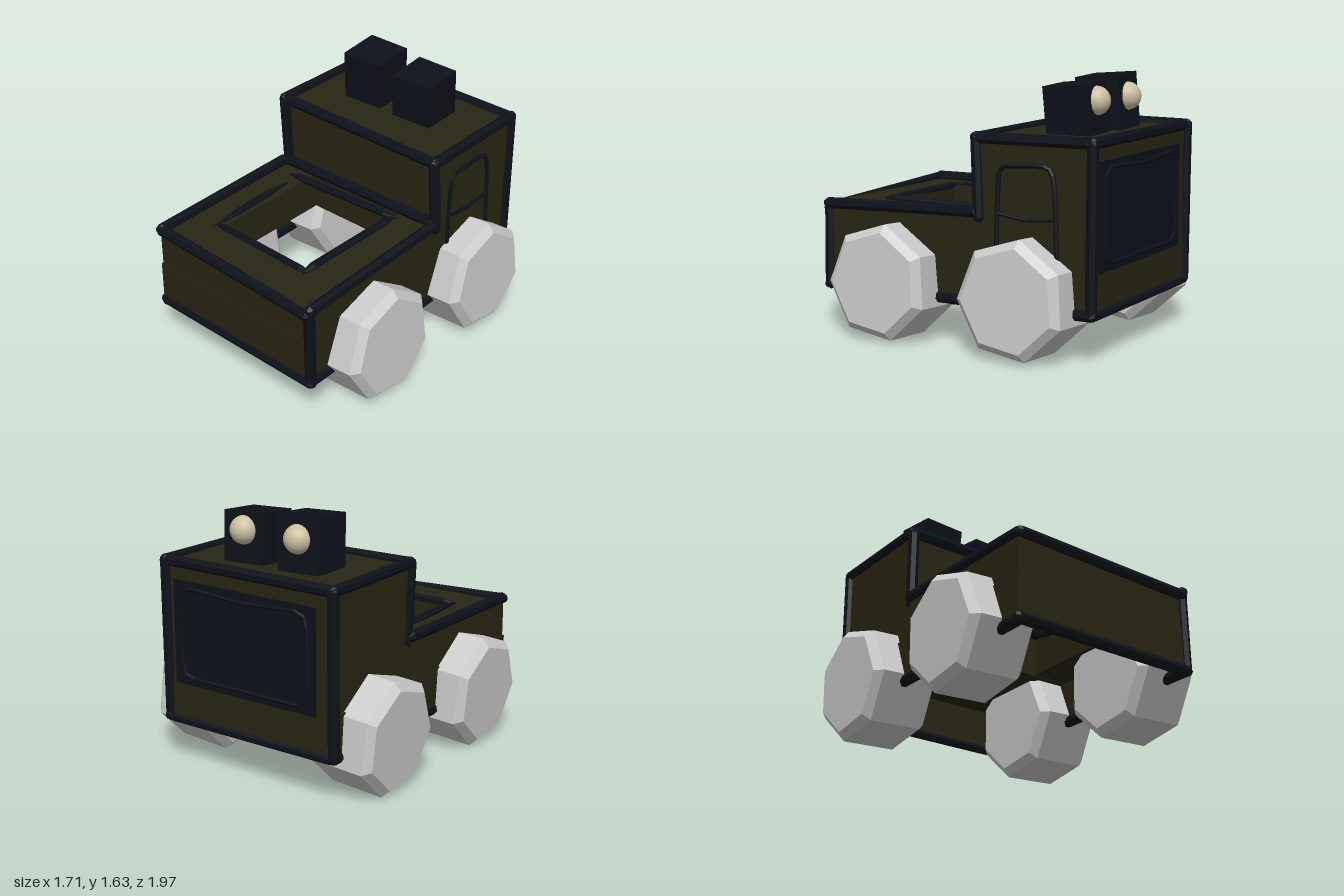
import * as THREE from 'three';

const mat = (color, extra = {}) => new THREE.MeshStandardMaterial({ color, flatShading: true, ...extra });

export function createModel() {
  const model = new THREE.Group();
  const olive = mat(0x282512);
  const dark = mat(0x0d1119);
  const grey = mat(0xcccccc);
  const beige = new THREE.MeshStandardMaterial({ color: 0xcbc0a2 });

  const add = (name, geo, material, parent = model) => {
    const m = new THREE.Mesh(geo, material);
    m.name = name;
    parent.add(m);
    return m;
  };

  // Box given by its two opposite corners
  const box = (name, a, b, material = olive) => {
    const g = new THREE.BoxGeometry(b[0] - a[0], b[1] - a[1], b[2] - a[2]);
    g.translate((a[0] + b[0]) / 2, (a[1] + b[1]) / 2, (a[2] + b[2]) / 2);
    return add(name, g, material);
  };

  // Faceted rod between two points; its ends narrow over the length "taper"
  const rod = (name, a, b, r = 0.036, taper = 0.025, tip = 0.6) => {
    const p = new THREE.Vector3(...a), q = new THREE.Vector3(...b);
    const len = p.distanceTo(q);
    const pts = [[0, 0], [r * tip, 0], [r, taper], [r, len - taper], [r * tip, len], [0, len]]
      .map(([x, y]) => new THREE.Vector2(x, y));
    const m = add(name, new THREE.LatheGeometry(pts, 7), dark);
    m.position.copy(p);
    m.quaternion.setFromUnitVectors(new THREE.Vector3(0, 1, 0), q.sub(p).normalize());
    return m;
  };

  // Thin tube along points on a flat panel
  const trim = (name, pts, r, closed = false) => {
    const curve = new THREE.CatmullRomCurve3(pts.map(p => new THREE.Vector3(...p)), closed, 'catmullrom', 0.3);
    return add(name, new THREE.TubeGeometry(curve, 40, r, 6, closed), dark);
  };

  // Hollow chassis, open underneath
  const mid = 0.56, low = 0.27;
  box('chassisLeftWall', [0.6, low, -0.95], [0.62, mid, 0.95]);
  box('chassisRightWall', [-0.645, low, -0.95], [-0.625, mid, 0.95]);
  box('chassisFrontWall', [-0.645, low, 0.935], [0.62, mid, 0.955]);
  box('chassisRearWall', [-0.645, low, -0.955], [0.62, mid, -0.935]);

  // Upper bed blocks around the square opening
  box('bedLeftBlock', [0.35, mid, -0.185], [0.62, 0.805, 0.95]);
  box('bedRightBlock', [-0.635, mid, -0.185], [-0.38, 0.805, 0.95]);
  box('bedFrontBlock', [-0.38, mid, 0.65], [0.35, 0.805, 0.95]);

  // Cab
  box('cab', [-0.63, mid, -0.95], [0.62, 1.29, -0.195]);

  // Cab edge rails
  const L = 0.615, R = -0.625, B = -0.945, C = -0.175;
  rod('cabTopFrontRail', [R - 0.03, 1.295, C], [L + 0.03, 1.28, C]);
  rod('cabTopRearRail', [R - 0.03, 1.29, B], [L + 0.03, 1.29, B]);
  rod('cabTopLeftRail', [L, 1.28, C + 0.035], [L, 1.29, B - 0.035]);
  rod('cabTopRightRail', [R, 1.295, C + 0.035], [R, 1.29, B - 0.035]);
  rod('cabBaseRail', [R - 0.03, 0.835, -0.18], [L + 0.02, 0.855, -0.18]);
  for (const [side, x] of [['Left', L], ['Right', R]]) {
    rod(`cabFront${side}Post`, [x + 0.01, 0.78, -0.195], [x, 1.31, -0.17]);
    rod(`cabRear${side}Post`, [x, 0.27, B], [x, 1.32, B - 0.005]);
  }

  // Bed and chassis rails
  rod('bedFrontRail', [R - 0.03, 0.815, 0.95], [L + 0.01, 0.765, 0.955]);
  rod('bedLeftRail', [L, 0.795, 0.97], [L + 0.01, 0.84, -0.2]);
  rod('bedRightRail', [R, 0.82, 0.97], [R - 0.01, 0.835, -0.19]);
  rod('bedFrontLeftPost', [L, 0.265, 0.94], [L - 0.01, 0.8, 0.94]);
  rod('chassisFrontRail', [R - 0.04, 0.285, 0.94], [L + 0.03, 0.275, 0.945]);
  rod('chassisRearRail', [R, 0.29, B], [L, 0.29, B], 0.03);
  rod('chassisLeftRail', [L, 0.28, 0.97], [L, 0.3, -0.98]);
  rod('chassisRightRail', [R, 0.28, 0.97], [R, 0.3, -0.96]);

  // Pointed rods rimming the opening
  rod('openingRearRod', [-0.5, 0.815, -0.075], [0.38, 0.815, -0.12], 0.026, 0.1, 0.2);
  rod('openingLeftRod', [0.345, 0.81, -0.12], [0.335, 0.81, 0.7], 0.028, 0.08, 0.3);
  rod('openingFrontRod', [-0.41, 0.805, 0.665], [0.34, 0.805, 0.68], 0.026, 0.05, 0.5);
  rod('openingRightRod', [-0.44, 0.81, 0.02], [-0.42, 0.81, 0.69], 0.026, 0.2, 0.2);

  // Door outline on the left side of the cab
  trim('doorOutline', [[-0.32, 0.5], [-0.32, 0.8], [-0.335, 1.07], [-0.36, 1.12], [-0.42, 1.13], [-0.63, 1.14],
    [-0.69, 1.11], [-0.71, 1.0], [-0.72, 0.8], [-0.73, 0.5]].map(([z, y]) => [0.622, y, z]), 0.016);
  trim('doorWindowBar', [[-0.33, 0.84], [-0.52, 0.82], [-0.72, 0.835]].map(([z, y]) => [0.622, y, z]), 0.013);

  // Windscreen panel and its rounded trim
  box('windscreen', [-0.51, 0.53, -0.96], [0.55, 1.18, -0.94], dark);
  trim('windscreenTrim', [[0.42, 1.14], [0, 1.12], [-0.39, 1.14], [-0.45, 1.08], [-0.46, 0.85], [-0.45, 0.64],
    [-0.39, 0.58], [0, 0.58], [0.42, 0.58], [0.48, 0.64], [0.49, 0.85], [0.48, 1.08]]
    .map(([x, y]) => [x, y, -0.962]), 0.014, true);

  // Roof lamps
  for (const [side, x, h] of [['Right', -0.225, 0.34], ['Left', 0.175, 0.31]]) {
    const lamp = new THREE.Group();
    lamp.name = `lamp${side}`;
    lamp.position.set(x, 1.28, -0.615);
    lamp.rotation.set(0.08, 0.04, -0.04);
    model.add(lamp);
    add('lampHousing', new THREE.BoxGeometry(0.285, h, 0.285).translate(0, h / 2, 0), dark, lamp);
    add('lampBulb', new THREE.SphereGeometry(0.088, 20, 14), beige, lamp).position.set(0, 0.2, -0.135);
  }

  // Seven-sided wheels with bevelled rims
  const r = 0.365, w = 0.22;
  const profile = [[0, -w], [r * 0.86, -w], [r, -w + 0.045], [r, w - 0.045], [r * 0.86, w], [0, w]]
    .map(([x, y]) => new THREE.Vector2(x, y));
  const wheelGeo = new THREE.LatheGeometry(profile, 7, -0.14 - Math.PI / 2).rotateZ(-Math.PI / 2);
  for (const [name, x, z] of [['wheelFrontLeft', 0.615, 0.44], ['wheelFrontRight', -0.615, 0.44],
    ['wheelRearLeft', 0.615, -0.51], ['wheelRearRight', -0.615, -0.56]]) {
    const wheel = add(name, wheelGeo, grey);
    wheel.position.set(x, 0.36, z);
    wheel.rotation.z = 0.06;
  }

  return model;
}
